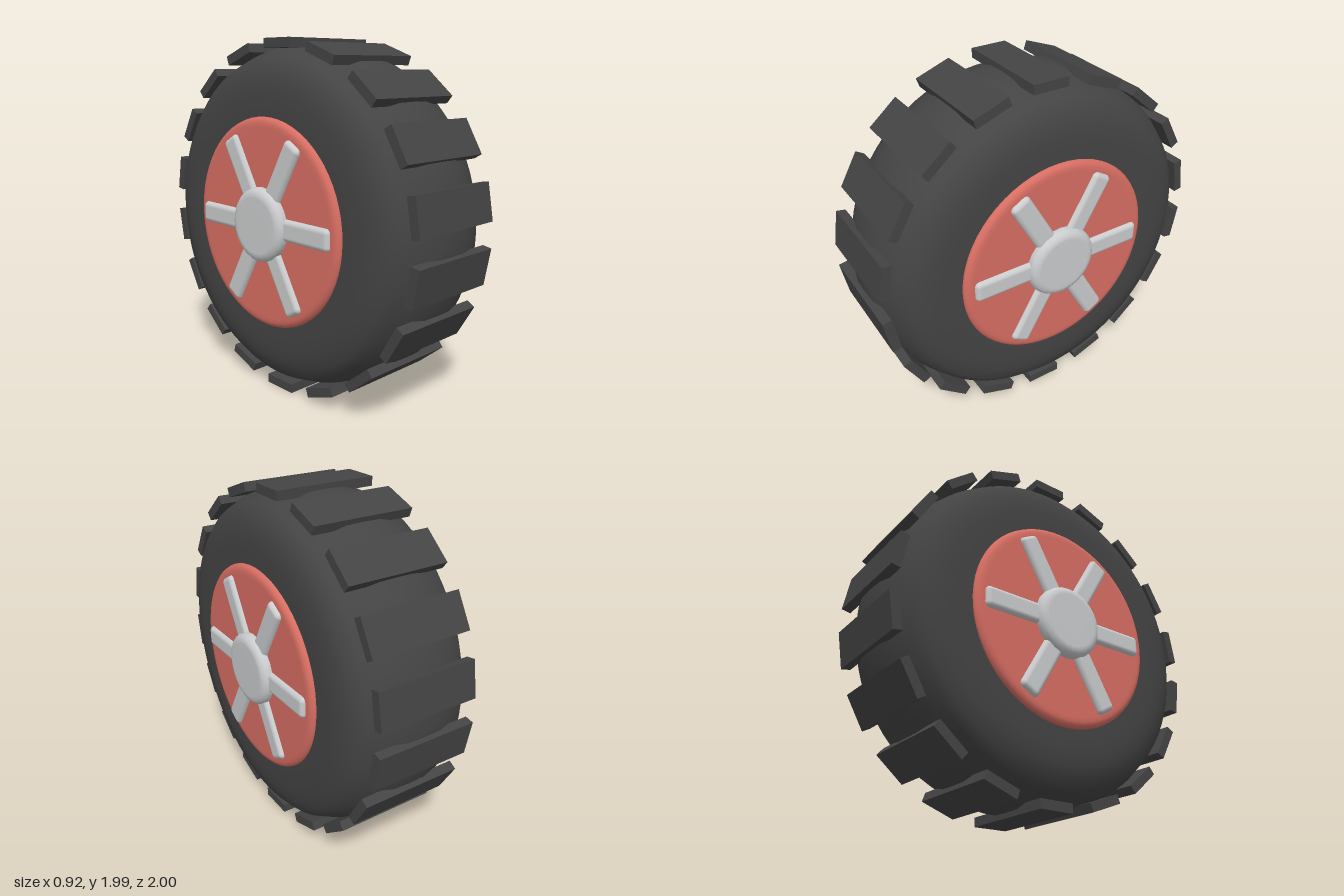
import * as THREE from 'three';
import { RoundedBoxGeometry } from 'three/addons/geometries/RoundedBoxGeometry.js';

const material = (name, color) => {
  const m = new THREE.MeshStandardMaterial({ color });
  m.name = name;
  return m;
};

// Solid of revolution about the x axis, mirrored from a half profile of
// [radius, x] points that runs from the middle of the tread to the side centre.
function wheelSolid(half, segments) {
  const right = half.map(([r, x]) => new THREE.Vector2(r, x));
  const left = half.filter(([, x]) => x > 0).reverse().map(([r, x]) => new THREE.Vector2(r, -x));
  return new THREE.LatheGeometry([...left, ...right], segments).rotateZ(-Math.PI / 2);
}

export function createModel() {
  const rubber = material('rubber', 0x444444);
  const red = material('rim red', 0xd86e63);
  const silver = material('silver', 0xcacccd);

  const wheel = new THREE.Group();
  wheel.name = 'wheel';
  const add = (parent, name, geometry, mat) => {
    const mesh = new THREE.Mesh(geometry, mat);
    mesh.name = name;
    parent.add(mesh);
    return mesh;
  };

  // Tyre with rounded shoulders
  add(wheel, 'tyre', wheelSolid([
    [0.975, 0], [0.972, 0.1], [0.945, 0.2], [0.9, 0.3], [0.85, 0.345],
    [0.78, 0.365], [0.71, 0.376], [0.62, 0.376], [0.5, 0.376], [0, 0.376],
  ], 72), rubber);

  // Rim disc with a softened edge
  add(wheel, 'rim', wheelSolid([
    [0.585, 0.01], [0.585, 0.375], [0.58, 0.388], [0.568, 0.399],
    [0.552, 0.404], [0.53, 0.405], [0.3, 0.405], [0, 0.405],
  ], 64), red);

  // Hub cap on both sides
  add(wheel, 'hub', wheelSolid([
    [0.208, 0.01], [0.208, 0.415], [0.203, 0.436], [0.19, 0.452],
    [0.17, 0.46], [0.155, 0.461], [0.08, 0.461], [0, 0.461],
  ], 24), silver);

  // Six spokes on each side
  const spokes = new THREE.Group();
  spokes.name = 'spokes';
  const spokeGeometry = new RoundedBoxGeometry(0.07, 0.122, 0.43, 4, 0.028).translate(0, 0, 0.313);
  for (const side of [-1, 1]) {
    for (let i = 0; i < 6; i++) {
      const spoke = add(spokes, 'spoke', spokeGeometry, silver);
      spoke.position.x = side * 0.394;
      spoke.rotation.x = i * Math.PI / 3;
    }
  }
  wheel.add(spokes);

  // Eighteen tread blocks around the tyre
  const treads = new THREE.Group();
  treads.name = 'treads';
  const treadGeometry = new THREE.BoxGeometry(0.59, 0.052, 0.207).translate(0, 0.971, 0);
  for (let i = 0; i < 18; i++) {
    add(treads, 'treadBlock', treadGeometry, rubber).rotation.x = i * Math.PI / 9;
  }
  wheel.add(treads);

  wheel.position.y = 0.997;
  const model = new THREE.Group();
  model.name = 'model';
  model.add(wheel);
  return model;
}
